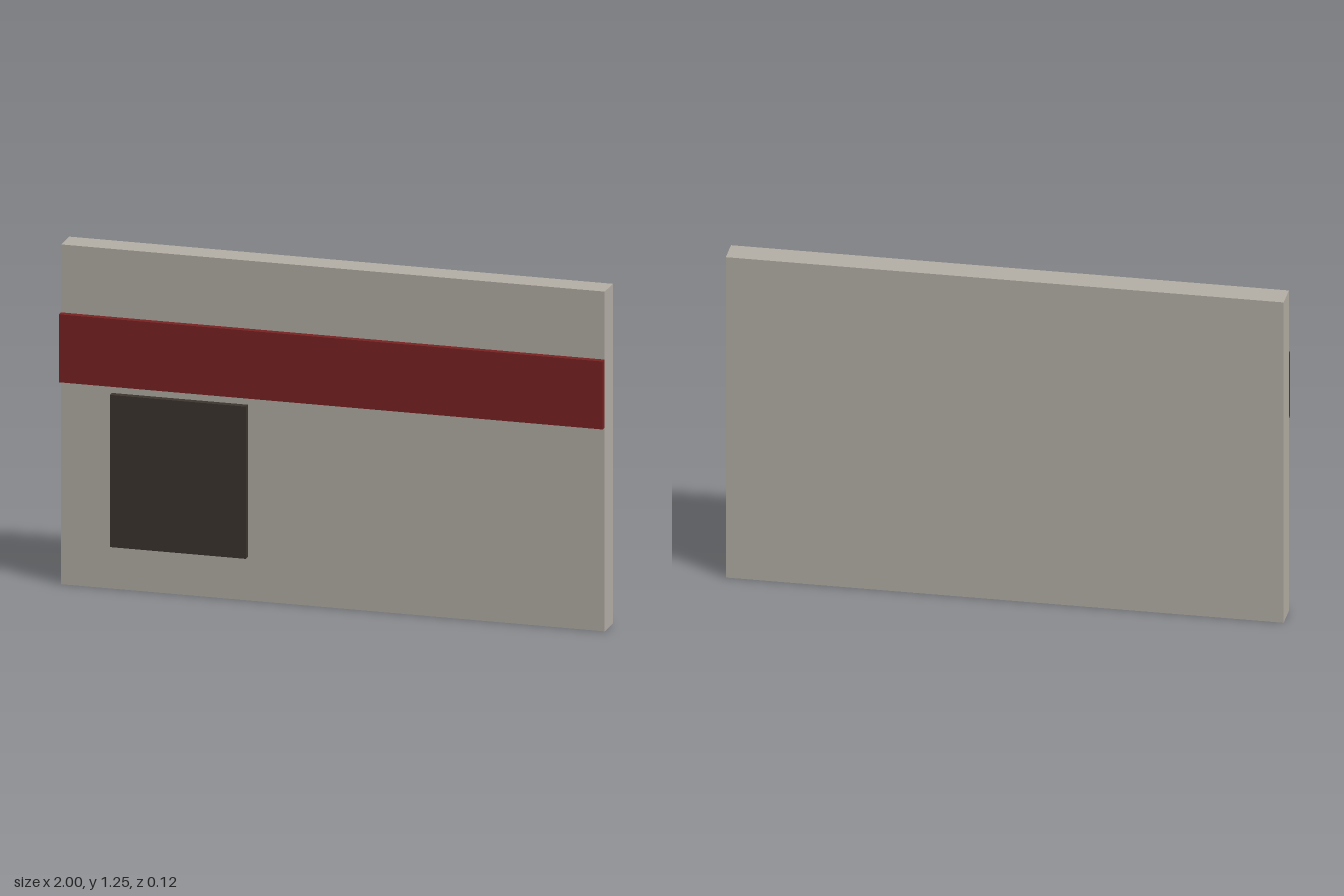
import * as THREE from 'three';

function material(name, color) {
  const m = new THREE.MeshStandardMaterial({ color });
  m.name = name;
  return m;
}

// Box given by its lower and upper corners
function slab(name, mat, [x0, y0, z0], [x1, y1, z1]) {
  const mesh = new THREE.Mesh(new THREE.BoxGeometry(x1 - x0, y1 - y0, z1 - z0), mat);
  mesh.position.set((x0 + x1) / 2, (y0 + y1) / 2, (z0 + z1) / 2);
  mesh.name = name;
  return mesh;
}

export function createModel() {
  const group = new THREE.Group();
  group.name = 'card';
  const back = -0.0625, face = 0.0375, front = 0.0625;

  group.add(
    // Main board
    slab('board', material('warm grey', 0xb4afa6), [-1, 0, back], [1, 1.25, face]),
    // Raised band across the full width
    slab('band', material('dark red', 0x7a2222), [-1, 0.75, face], [1, 1, front]),
    // Raised panel at the lower side
    slab('panel', material('dark brown', 0x3c352f), [-0.8125, 0.16, face], [-0.3125, 0.72, front]),
  );
  return group;
}
